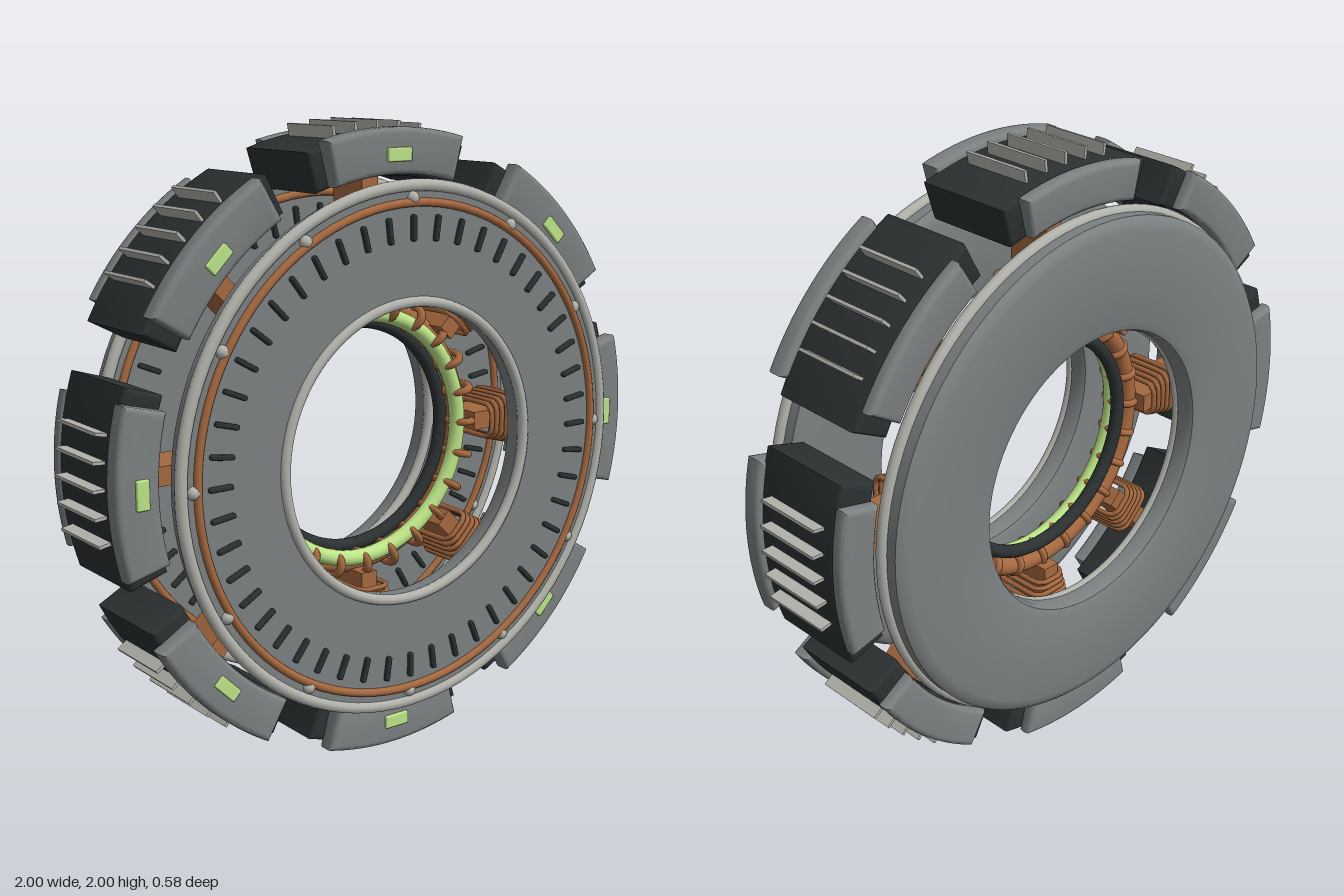
import * as THREE from 'three';
import { toCreasedNormals } from 'three/addons/utils/BufferGeometryUtils.js';
import { RoundedBoxGeometry } from 'three/addons/geometries/RoundedBoxGeometry.js';

const paint = (color) => new THREE.MeshStandardMaterial({ color });
const grey = paint(0x7b8080);
const dark = paint(0x2b3031);
const light = paint(0xb2b2ac);
const copper = paint(0xa5683f);
const green = paint(0xbce487);

function add(parent, name, geometry, material, x = 0, y = 0, z = 0) {
  const mesh = new THREE.Mesh(geometry, material);
  mesh.name = name;
  mesh.position.set(x, y, z);
  parent.add(mesh);
  return mesh;
}

// Repeats a part evenly around the z axis; each copy is built at the top
function around(parent, name, count, build) {
  for (let i = 0; i < count; i++) {
    const g = new THREE.Group();
    g.name = name;
    g.rotation.z = (i / count) * Math.PI * 2;
    build(g);
    parent.add(g);
  }
}

const ring = (radius, tube, sides = 10) => new THREE.TorusGeometry(radius, tube, sides, 96);

// Solid of revolution about z from closed [radius, z] points
function turned(points) {
  const g = new THREE.LatheGeometry(points.map(([r, z]) => new THREE.Vector2(r, z)), 96);
  g.rotateX(Math.PI / 2);
  return toCreasedNormals(g, 0.6);
}

// Bevelled curved block between two radii, centred on the top
function arcBlock(r0, r1, half, z0, z1, bevel) {
  const mid = Math.PI / 2;
  const a = half - bevel / r1;
  const s = new THREE.Shape();
  s.absarc(0, 0, r1 - bevel, mid - a, mid + a, false);
  s.absarc(0, 0, r0 + bevel, mid + a, mid - a, true);
  s.closePath();
  const g = new THREE.ExtrudeGeometry(s, {
    depth: z1 - z0 - 2 * bevel, curveSegments: 16, steps: 1,
    bevelEnabled: true, bevelThickness: bevel, bevelSize: bevel, bevelSegments: 3,
  });
  g.translate(0, 0, z0 + bevel);
  return toCreasedNormals(g, 0.6);
}

// Rectangular winding lying across the radial direction
function windingGeometry(width, depth, tube) {
  const w = width / 2, d = depth / 2, c = 0.025;
  const pts = [[w, -d + c], [w, d - c], [w - c, d], [-w + c, d], [-w, d - c], [-w, -d + c], [-w + c, -d], [w - c, -d]];
  const curve = new THREE.CatmullRomCurve3(pts.map(([x, z]) => new THREE.Vector3(x, 0, z)), true, 'catmullrom', 0.2);
  return new THREE.TubeGeometry(curve, 40, tube, 6, true);
}

// Annular plate with its rims, copper ring, slots and bolts
function makePlate() {
  const plate = new THREE.Group();
  add(plate, 'plateDisc', turned([
    [0.455, 0.215], [0.463, 0.198], [0.485, 0.19], [0.775, 0.19], [0.80, 0.196], [0.815, 0.21],
    [0.815, 0.255], [0.80, 0.27], [0.47, 0.27], [0.455, 0.255], [0.455, 0.215],
  ]), grey);
  add(plate, 'outerRim', ring(0.815, 0.019), light, 0, 0, 0.264);
  add(plate, 'innerRim', ring(0.467, 0.017), light, 0, 0, 0.268);
  add(plate, 'copperRing', ring(0.765, 0.013), copper, 0, 0, 0.272);
  const slot = new RoundedBoxGeometry(0.016, 0.08, 0.026, 1, 0.006);
  around(plate, 'slot', 48, (g) => add(g, 'ventSlot', slot, dark, 0, 0.69, 0.273));
  const bolt = new THREE.SphereGeometry(0.021, 14, 10);
  around(plate, 'bolt', 12, (g) => add(g, 'boltHead', bolt, light, 0, 0.778, 0.268));
  return plate;
}

export function createModel() {
  const model = new THREE.Group();
  model.name = 'ringMachine';
  const wheel = new THREE.Group();
  wheel.name = 'wheel';
  wheel.position.y = 1;
  model.add(wheel);

  // Front plate and its twin at the back
  const front = makePlate();
  front.name = 'frontPlate';
  const back = front.clone();
  back.name = 'backPlate';
  back.position.z = -0.48;
  wheel.add(front, back);

  // Inner core: copper tube, green light band, dark liner and wraps
  add(wheel, 'coreTube', ring(0.426, 0.03, 14), copper, 0, 0, -0.025);
  add(wheel, 'lightBand', ring(0.397, 0.026, 14), green, 0, 0, 0.018);
  add(wheel, 'darkLiner', ring(0.368, 0.022, 14), dark, 0, 0, -0.035);
  const wrap = new THREE.TorusGeometry(0.038, 0.012, 8, 20);
  wrap.rotateY(Math.PI / 2);
  wrap.scale(1, 1, 1.4);
  around(wheel, 'coreWrap', 24, (g) => add(g, 'wrap', wrap, copper, 0, 0.42, 0));

  // Outer modules with the coil that holds each one
  const body = arcBlock(0.835, 0.962, 0.315, -0.182, 0.15, 0.014);
  const frontFlange = arcBlock(0.842, 0.982, 0.265, 0.135, 0.203, 0.016);
  const backFlange = arcBlock(0.842, 0.966, 0.25, -0.222, -0.172, 0.016);
  const fin = new THREE.BoxGeometry(0.01, 0.07, 0.235);
  const lamp = new RoundedBoxGeometry(0.09, 0.042, 0.02, 1, 0.005);
  const strut = new THREE.BoxGeometry(0.06, 0.41, 0.15);
  const windings = [0, 1, 2, 3, 4].map((i) => windingGeometry(0.11 + i * 0.012, 0.19, 0.009));
  around(wheel, 'module', 8, (g) => {
    add(g, 'housing', body, dark);
    add(g, 'frontFlange', frontFlange, grey);
    add(g, 'backFlange', backFlange, grey);
    add(g, 'lamp', lamp, green, 0, 0.902, 0.203);
    for (let i = -2; i <= 2; i++) {
      const a = i * 0.083;
      const f = add(g, 'coolingFin', fin, light, -Math.sin(a) * 0.965, Math.cos(a) * 0.965, -0.02);
      f.rotation.z = a;
    }
    add(g, 'strut', strut, copper, 0, 0.645, -0.015);
    windings.forEach((w, i) => add(g, 'winding', w, copper, 0, 0.485 + i * 0.022, 0));
  });

  return model;
}
